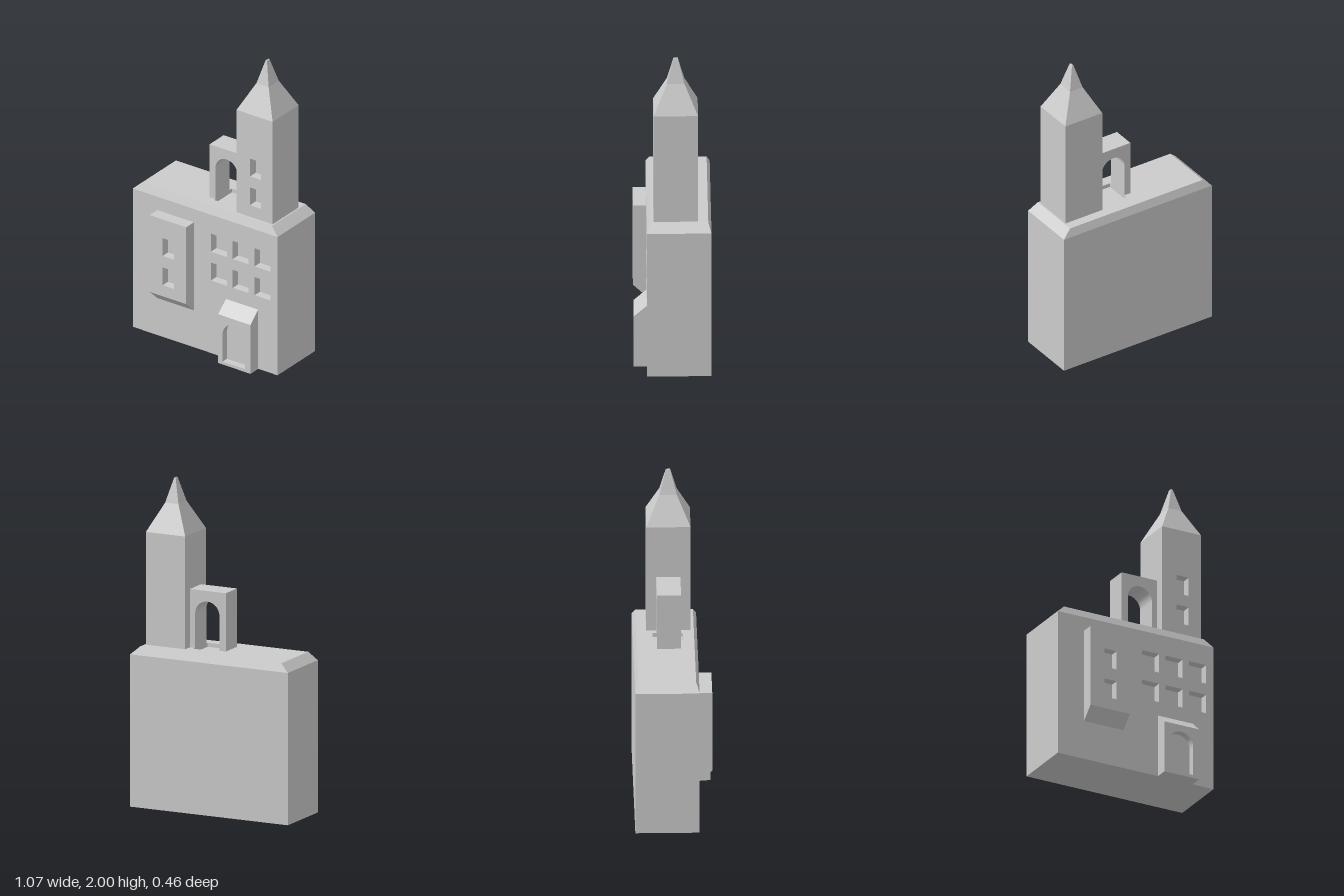
import * as THREE from 'three';

const material = new THREE.MeshStandardMaterial({ color: 0xcccccc, flatShading: true });

// Rectangle and round-headed opening outlines, counter-clockwise
const rect = (x0, x1, y0, y1) =>
  [[x0, y0], [x1, y0], [x1, y1], [x0, y1]].map(p => new THREE.Vector2(...p));

function archOutline(x0, x1, y0, yTop, steps = 24) {
  const r = (x1 - x0) / 2;
  const pts = [new THREE.Vector2(x0, y0), new THREE.Vector2(x1, y0)];
  for (let i = 0; i <= steps; i++) {
    const a = Math.PI * i / steps;
    pts.push(new THREE.Vector2(x0 + r + r * Math.cos(a), yTop - r + r * Math.sin(a)));
  }
  return pts;
}

// Mesh from a list of four-cornered faces
function quadMesh(name, quads) {
  const pos = [];
  for (const [a, b, c, d] of quads) pos.push(...a, ...b, ...c, ...a, ...c, ...d);
  const geo = new THREE.BufferGeometry();
  geo.setAttribute('position', new THREE.Float32BufferAttribute(pos, 3));
  geo.computeVertexNormals();
  const mesh = new THREE.Mesh(geo, material);
  mesh.name = name;
  return mesh;
}

// Stacked rectangular sections [x0, x1, z0, z1, y]; chosen faces can be left open
function loft(name, levels, { openFront = -1, back = true, top = true, bottom = true } = {}) {
  const rings = levels.map(([x0, x1, z0, z1, y]) =>
    [[x0, y, z1], [x1, y, z1], [x1, y, z0], [x0, y, z0]]);
  const quads = [];
  for (let i = 0; i < rings.length - 1; i++) {
    for (let s = 0; s < 4; s++) {
      if ((s === 0 && i === openFront) || (s === 2 && !back)) continue;
      const n = (s + 1) % 4;
      quads.push([rings[i][s], rings[i][n], rings[i + 1][n], rings[i + 1][s]]);
    }
  }
  if (top) quads.push(rings[rings.length - 1]);
  if (bottom) quads.push([...rings[0]].reverse());
  return quadMesh(name, quads);
}

// Flat face in the xy plane with recessed openings
function recessedFace(name, outline, holes, depth) {
  const group = new THREE.Group();
  group.name = name;
  const shape = new THREE.Shape(outline);
  holes.forEach(h => shape.holes.push(new THREE.Path(h)));
  const face = new THREE.Mesh(new THREE.ShapeGeometry(shape), material);
  face.name = name + 'Face';
  group.add(face);
  for (const h of holes) {
    const sides = h.map((p, i) => {
      const q = h[(i + 1) % h.length];
      return [[p.x, p.y, 0], [q.x, q.y, 0], [q.x, q.y, -depth], [p.x, p.y, -depth]];
    });
    const floor = new THREE.Mesh(new THREE.ShapeGeometry(new THREE.Shape(h)), material);
    floor.position.z = -depth;
    floor.name = name + 'RecessBack';
    group.add(quadMesh(name + 'RecessSides', sides), floor);
  }
  return group;
}

function part(name, ...children) {
  const group = new THREE.Group();
  group.name = name;
  group.add(...children);
  return group;
}

export function createModel() {
  const model = new THREE.Group();
  model.name = 'building';
  const W = 0.533, back = -0.233, front = 0.152, bay = 0.231;
  const eave = 0.935, roofY = 0.985;

  // Main block with two rows of three windows
  const windows = [];
  for (const y of [0.49, 0.685])
    for (const x of [0.042, 0.203, 0.364]) windows.push(rect(x, x + 0.118, y, y + 0.122));
  const frontWall = recessedFace('frontWall', rect(-W, W, 0, eave), windows, 0.055);
  frontWall.position.z = front;
  const walls = loft('walls', [
    [-W, W, back, front, 0],
    [-W, W, back, front, eave],
    [-0.479, 0.477, -0.214, 0.132, roofY],
  ], { openFront: 0, top: false });

  // Flat roof with a shallow pit under the arch
  const roof = recessedFace('roof', rect(-0.479, 0.477, -0.132, 0.214),
    [rect(0.003, 0.167, -0.064, 0.117)], 0.025);
  roof.rotation.x = -Math.PI / 2;
  roof.position.y = roofY;
  model.add(part('mainBlock', walls, frontWall, roof));

  // Projecting bay with sloped underside
  const bayFace = recessedFace('bayFront', rect(-0.353, -0.083, 0.325, 0.845),
    [rect(-0.257, -0.174, 0.4, 0.52), rect(-0.257, -0.174, 0.598, 0.718)], 0.055);
  bayFace.position.z = bay;
  model.add(part('bay', bayFace, loft('bayShell', [
    [-0.353, -0.083, front, front, 0.25],
    [-0.353, -0.083, front, bay, 0.325],
    [-0.353, -0.083, front, bay, 0.845],
  ], { openFront: 1, back: false, bottom: false })));

  // Porch with lean-to roof and round-headed door
  const porchFace = recessedFace('porchFront', rect(0.153, 0.391, 0, 0.33),
    [archOutline(0.185, 0.35, 0.02, 0.287)], 0.045);
  porchFace.position.z = bay;
  model.add(part('porch', porchFace, loft('porchShell', [
    [0.153, 0.391, front, bay, 0],
    [0.153, 0.391, front, bay, 0.33],
    [0.153, 0.391, front, front, 0.4],
  ], { openFront: 0, back: false, top: false })));

  // Tower with two windows and a spire that steepens
  const cx = 0.336, cz = -0.02, h = 0.133;
  const level = (hx, hz, y) => [cx - hx, cx + hx, cz - hz, cz + hz, y];
  const towerFace = recessedFace('towerFront', rect(cx - h, cx + h, roofY, 1.677),
    [rect(0.302, 0.385, 1.063, 1.183), rect(0.302, 0.385, 1.257, 1.378)], 0.06);
  towerFace.position.z = cz + h;
  const shaft = loft('towerShaft', [level(h, h, roofY), level(h, h, 1.677)],
    { openFront: 0, top: false, bottom: false });
  const spire = loft('spire', [
    level(h, h, 1.677), level(0.045, 0.052, 1.85), level(0.005, 0.013, 2),
  ], { bottom: false });
  spire.children.length = 0;
  model.add(part('tower', towerFace, shaft, spire));

  // Open arch beside the tower
  const opening = archOutline(0.003, 0.167, roofY, 1.278).slice(1);
  const archShape = new THREE.Shape([
    new THREE.Vector2(0.003, roofY), ...opening.slice().reverse().slice(0),
    new THREE.Vector2(0.203, roofY), new THREE.Vector2(0.203, 1.343),
    new THREE.Vector2(-0.04, 1.343), new THREE.Vector2(-0.04, roofY),
  ]);
  const arch = new THREE.Mesh(
    new THREE.ExtrudeGeometry(archShape, { depth: 0.144, bevelEnabled: false }), material);
  arch.position.z = -0.093;
  arch.name = 'roofArch';
  model.add(arch);

  return model;
}
